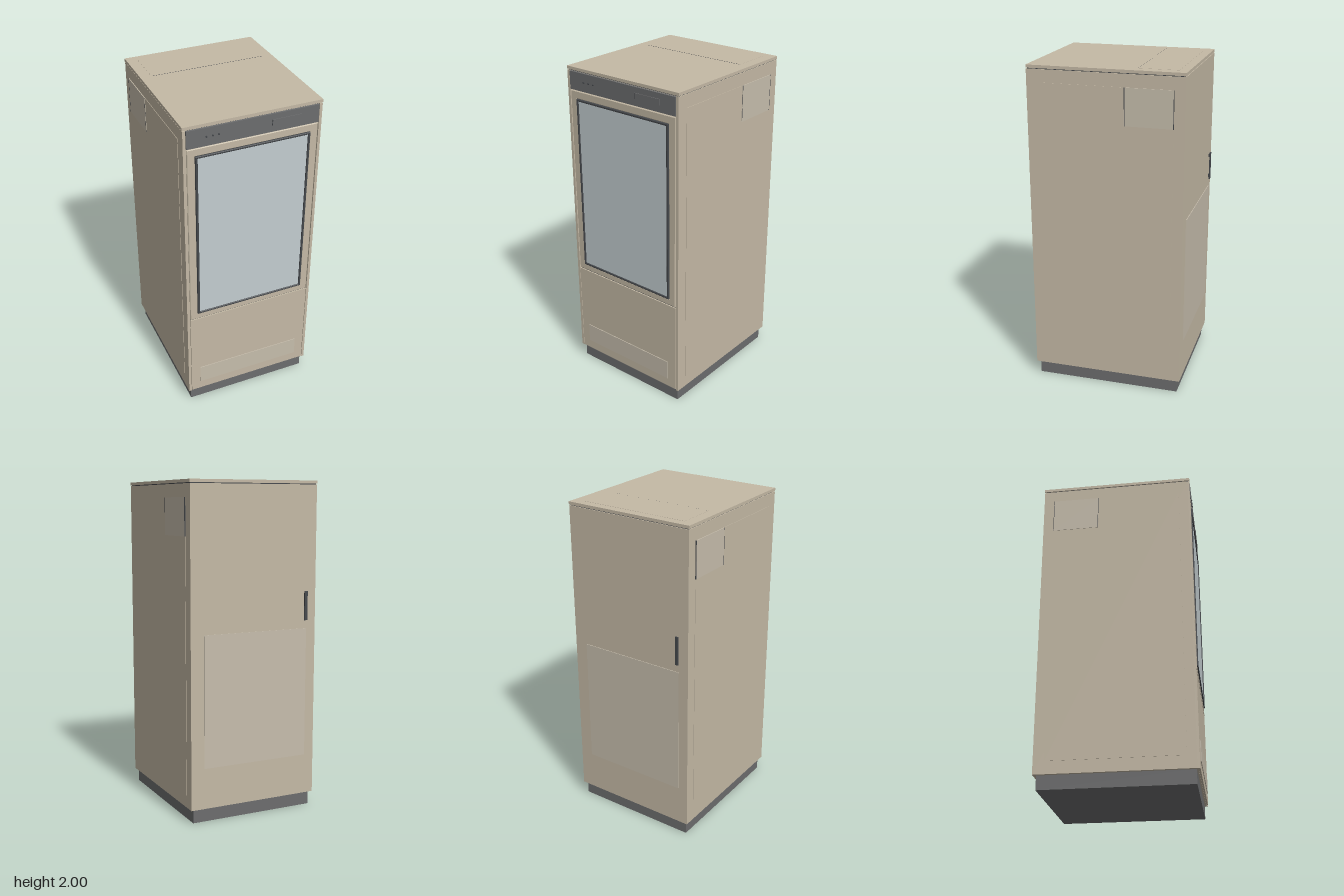
import * as THREE from 'three';

const mat = (name, color) => {
  const m = new THREE.MeshStandardMaterial({ color });
  m.name = name;
  return m;
};

export function createModel() {
  const root = new THREE.Group();
  root.name = 'cabinet';
  const beige = mat('beige enamel', 0xc4b9a5);
  const pale = mat('pale beige', 0xc6bdac);
  const grey = mat('plinth grey', 0x6c6d6e);
  const dark = mat('dark trim', 0x45484c);
  const glass = mat('blue grey glass', 0xc3cdd0);

  // Box given by its lower and upper limits on each axis
  const box = (name, m, x0, x1, y0, y1, z0, z1, parent = root) => {
    const mesh = new THREE.Mesh(new THREE.BoxGeometry(x1 - x0, y1 - y0, z1 - z0), m);
    mesh.position.set((x0 + x1) / 2, (y0 + y1) / 2, (z0 + z1) / 2);
    mesh.name = name;
    parent.add(mesh);
    return mesh;
  };
  const rectPath = (Type, x0, x1, y0, y1) => new Type([
    [x0, y0], [x1, y0], [x1, y1], [x0, y1],
  ].map(([x, y]) => new THREE.Vector2(x, y)));

  // Rectangular frame with a bevelled rim
  const frame = (name, m, outer, inner, z0, z1, bevel) => {
    const [x0, x1, y0, y1] = outer;
    const [a0, a1, b0, b1] = inner;
    const shape = rectPath(THREE.Shape, x0 + bevel, x1 - bevel, y0 + bevel, y1 - bevel);
    shape.holes.push(rectPath(THREE.Path, a0 - bevel, a1 + bevel, b0 - bevel, b1 + bevel));
    const geo = new THREE.ExtrudeGeometry(shape, {
      depth: z1 - z0 - 2 * bevel, bevelEnabled: true, bevelSize: bevel,
      bevelThickness: bevel, bevelSegments: 1,
    });
    const mesh = new THREE.Mesh(geo, m);
    mesh.position.z = z0 + bevel;
    mesh.name = name;
    root.add(mesh);
  };

  // Plinth, carcass and lid
  box('plinth', grey, -0.394, 0.394, 0, 0.086, -0.447, 0.45);
  box('carcass', beige, -0.413, 0.413, 0.084, 1.976, -0.466, 0.46);
  box('lidGap', dark, -0.408, 0.408, 1.976, 1.981, -0.46, 0.462);
  box('lid', beige, -0.415, 0.415, 1.981, 1.999, -0.467, 0.47);
  box('lidHatch', beige, -0.35, 0.35, 1.998, 2, -0.413, -0.175);
  box('lidHatchSeam', dark, -0.35, 0.35, 1.998, 1.9995, -0.176, -0.173);

  // Sides: corner post, raised skin, vent plate
  for (const s of [-1, 1]) {
    const side = new THREE.Group();
    side.name = s > 0 ? 'leftSide' : 'rightSide';
    root.add(side);
    const plate = (name, m, t0, t1, y0, y1, z0, z1) =>
      box(name, m, Math.min(s * t0, s * t1), Math.max(s * t0, s * t1), y0, y1, z0, z1, side);
    plate('frontPost', beige, 0.396, 0.413, 0.084, 1.976, 0.455, 0.47);
    plate('sideSkin', beige, 0.41, 0.4155, 0.16, 1.9, -0.4, 0.4);
    plate('sideVent', pale, 0.41, 0.418, 1.68, 1.9, -0.4, -0.113);
    for (const z of [-0.4, -0.115])
      plate('sideVentSeam', dark, 0.41, 0.4184, 1.68, 1.9, z - 0.0015, z + 0.0015);
  }

  // Window door
  frame('door', beige, [-0.392, 0.392, 0.68, 1.86], [-0.345, 0.345, 0.72, 1.813], 0.458, 0.471, 0.004);
  frame('windowFrame', dark, [-0.345, 0.345, 0.72, 1.813], [-0.331, 0.331, 0.734, 1.8], 0.458, 0.478, 0.003);
  box('window', glass, -0.333, 0.333, 0.732, 1.802, 0.46, 0.472);
  box('doorSeam', dark, -0.392, 0.392, 0.674, 0.68, 0.458, 0.462);

  // Lower front and its vent plate
  box('lowerFront', beige, -0.393, 0.393, 0.088, 0.674, 0.458, 0.47);
  box('lowerVent', pale, -0.335, 0.335, 0.147, 0.267, 0.465, 0.4745);

  // Control strip with buttons and a display
  box('controlStrip', grey, -0.393, 0.393, 1.865, 1.973, 0.458, 0.472);
  for (const x of [-0.28, -0.243, -0.207]) {
    const button = new THREE.Mesh(new THREE.CylinderGeometry(0.005, 0.005, 0.008, 12), dark);
    button.rotation.x = Math.PI / 2;
    button.position.set(x, 1.922, 0.474);
    button.name = 'button';
    root.add(button);
  }
  box('display', grey, 0.108, 0.285, 1.905, 1.94, 0.468, 0.476);
  box('displayEdge', dark, 0.106, 0.109, 1.905, 1.94, 0.468, 0.477);

  // Back service panel and handle
  box('backPanel', pale, -0.35, 0.33, 0.33, 1.12, -0.47, -0.46);
  box('backHandle', dark, -0.352, -0.332, 1.17, 1.345, -0.48, -0.472);
  for (const y of [1.18, 1.315])
    box('handleMount', dark, -0.349, -0.335, y, y + 0.02, -0.474, -0.462);

  return root;
}
